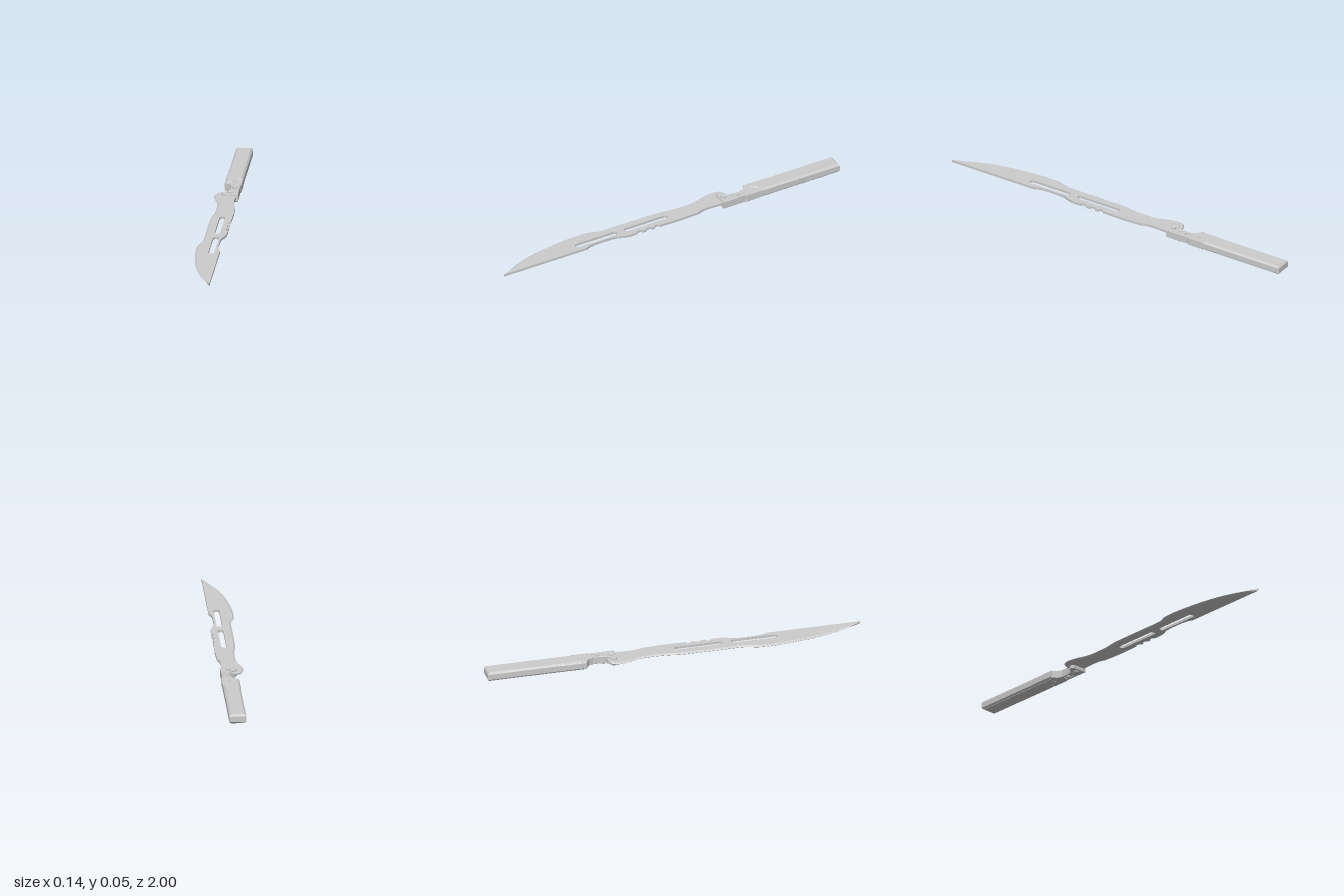
import * as THREE from 'three';

const mat = new THREE.MeshStandardMaterial({ color: 0xcccccc, flatShading: true, side: THREE.DoubleSide });

// outlines are given as [x, z] pairs, then extruded upwards in y
const toShape = pts => new THREE.Shape(pts.map(([x, z]) => new THREE.Vector2(x, -z)));

function slab(name, shape, y0, y1, bevel = 0) {
  const geo = new THREE.ExtrudeGeometry(shape, {
    depth: y1 - y0 - 2 * bevel, curveSegments: 8, bevelEnabled: bevel > 0,
    bevelSize: bevel, bevelThickness: bevel, bevelOffset: -bevel, bevelSegments: 1,
  });
  geo.rotateX(-Math.PI / 2).translate(0, y0 + bevel, 0);
  const mesh = new THREE.Mesh(geo, mat);
  mesh.name = name;
  return mesh;
}

// rounded slot running along z
function slot(x0, x1, z0, z1) {
  const r = (x1 - x0) / 2, c = (x0 + x1) / 2, p = new THREE.Path();
  p.absarc(c, -(z0 + r), r, 0, Math.PI, false);
  p.absarc(c, -(z1 - r), r, Math.PI, Math.PI * 2, false);
  p.closePath();
  return p;
}

function makeBlade() {
  const group = new THREE.Group();
  group.name = 'blade';
  const yLow = 0.025, yHigh = 0.038, yMid = 0.0315;

  // cutting edge from the tip back round the finger guard
  const edgeCurve = new THREE.CatmullRomCurve3([
    [0.057, 0.995], [0.03, 0.945], [0, 0.88], [-0.035, 0.77], [-0.06, 0.62], [-0.07, 0.48], [-0.065, 0.415],
    [-0.05, 0.37], [-0.047, 0.2], [-0.044, 0.01], [-0.035, -0.05], [-0.035, -0.19], [-0.056, -0.26],
    [-0.064, -0.32], [-0.046, -0.356], [0, -0.365],
  ].map(([x, z]) => new THREE.Vector3(x, 0, z)), false, 'centripetal');
  const n = 90, outer = [], inner = [];
  for (let i = 0; i <= n; i++) {
    const p = edgeCurve.getPointAt(i / n), t = edgeCurve.getTangentAt(i / n);
    const w = 0.009 * Math.min(1, i / 5, (n - i) / 5);
    outer.push([p.x, p.z]);
    inner.push([p.x - t.z * w, p.z + t.x * w]);
  }

  // spine from the pivot to the tip, with three thumb notches
  const spine = [[0.045, -0.365], [0.05, -0.3], [0.047, -0.23], [0.05, -0.19], [0.061, -0.16], [0.066, -0.06], [0.064, 0.06]];
  for (const z of [0.085, 0.135, 0.19])
    for (let k = 0; k <= 6; k++) {
      const a = Math.PI * k / 6;
      spine.push([0.065 - 0.012 * Math.sin(a), z - 0.016 * Math.cos(a)]);
    }
  spine.push([0.064, 0.26], [0.058, 0.285], [0.045, 0.315], [0.041, 0.35], [0.041, 0.44], [0.046, 0.475], [0.057, 0.5]);

  const shape = toShape([...inner, ...spine]);
  shape.holes.push(slot(0, 0.028, 0, 0.255), slot(0, 0.03, 0.3, 0.545));
  group.add(slab('bladeBody', shape, yLow, yHigh));

  // ground bevel: two strips meeting at the sharp edge
  const pos = [];
  for (let i = 0; i < n; i++)
    for (const y of [yHigh, yLow]) {
      const a = [inner[i][0], y, inner[i][1]], b = [inner[i + 1][0], y, inner[i + 1][1]];
      const c = [outer[i + 1][0], yMid, outer[i + 1][1]], d = [outer[i][0], yMid, outer[i][1]];
      const quad = y === yHigh ? [a, b, d, b, c, d] : [a, d, b, b, d, c];
      pos.push(...quad.flat());
    }
  const geo = new THREE.BufferGeometry();
  geo.setAttribute('position', new THREE.Float32BufferAttribute(pos, 3));
  geo.computeVertexNormals();
  const bevel = new THREE.Mesh(geo, mat);
  bevel.name = 'cuttingEdge';
  group.add(bevel);
  return group;
}

function makeHandle() {
  const group = new THREE.Group();
  group.name = 'handle';

  // grip with a slanted front end, plus inset panels above and below
  const grip = [[-0.028, -1], [0.06, -1], [0.06, -0.533], [0.032, -0.523], [0.012, -0.488], [-0.03, -0.475], [-0.03, -0.6], [-0.028, -0.62]];
  const panel = [[-0.02, -0.99], [0.052, -0.99], [0.052, -0.54], [0.028, -0.53], [0.008, -0.497], [-0.02, -0.487]];
  group.add(slab('grip', toShape(grip), 0.004, 0.048, 0.007));
  group.add(slab('topPanel', toShape(panel), 0.04, 0.05, 0.002));
  group.add(slab('bottomPanel', toShape(panel), 0, 0.01, 0.002));

  // bolster: solid core between two pocketed plates
  const bolster = [[-0.026, -0.54], [0.061, -0.54], [0.061, -0.45], [0.056, -0.44], [0.058, -0.31], [-0.02, -0.312],
    [-0.028, -0.325], [-0.024, -0.34], [0.004, -0.362], [0.01, -0.4], [0.01, -0.435], [0, -0.458], [-0.028, -0.477]];
  group.add(slab('bolsterCore', toShape(bolster), 0.012, 0.042));
  for (const [name, y0, y1] of [['upperPlate', 0.039, 0.047], ['lowerPlate', 0.005, 0.015]]) {
    const s = toShape(bolster);
    s.holes.push(slot(0.018, 0.044, -0.435, -0.375), slot(0.004, 0.028, -0.352, -0.318));
    group.add(slab(name, s, y0, y1, 0.002));
  }

  // pivot pins and screws, showing on both faces
  for (const [x, z, r] of [[0.021, -0.5, 0.009], [0.03, -0.41, 0.01], [0.016, -0.334, 0.009]]) {
    const pin = new THREE.Mesh(new THREE.CylinderGeometry(r, r, 0.046, 16), mat);
    pin.name = 'pin';
    pin.position.set(x, 0.026, z);
    group.add(pin);
  }
  return group;
}

export function createModel() {
  const model = new THREE.Group();
  model.name = 'foldingKnife';
  model.add(makeBlade(), makeHandle());
  return model;
}
